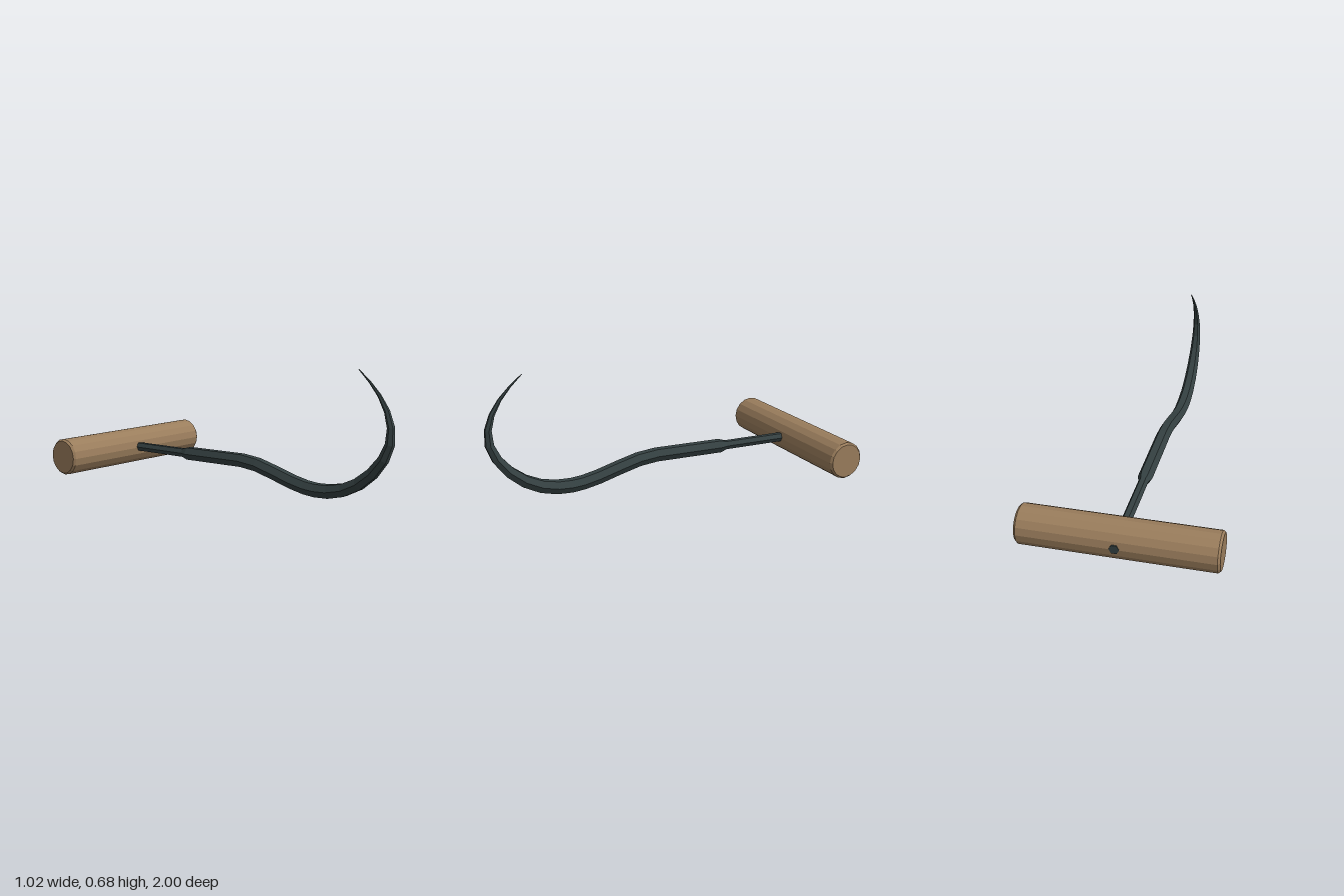
import * as THREE from 'three';

const wood = new THREE.MeshStandardMaterial({ color: 0x9a7d5c, flatShading: true });
wood.name = 'wood';
const steel = new THREE.MeshStandardMaterial({ color: 0x344041, flatShading: true });
steel.name = 'darkSteel';

// Sweeps a six-sided section along stations [z, y, radius] and caps both ends
function hexSweep(stations) {
  const sides = 6;
  const rings = stations.map(([z, y, r], i) => {
    const [z0, y0] = stations[Math.max(i - 1, 0)];
    const [z1, y1] = stations[Math.min(i + 1, stations.length - 1)];
    const t = new THREE.Vector2(z1 - z0, y1 - y0).normalize();
    return Array.from({ length: sides }, (_, j) => {
      const a = (j / sides) * Math.PI * 2;
      const n = Math.sin(a) * r;
      return [Math.cos(a) * r, y + t.x * n, z - t.y * n];
    });
  });
  const pos = [];
  const tri = (a, b, c) => pos.push(...a, ...b, ...c);
  const last = rings.length - 1;
  const center = (i) => [0, stations[i][1], stations[i][0]];
  for (let j = 0; j < sides; j++) {
    const k = (j + 1) % sides;
    for (let i = 0; i < last; i++) {
      tri(rings[i][j], rings[i][k], rings[i + 1][k]);
      tri(rings[i][j], rings[i + 1][k], rings[i + 1][j]);
    }
    tri(center(0), rings[0][k], rings[0][j]);
    tri(center(last), rings[last][j], rings[last][k]);
  }
  const g = new THREE.BufferGeometry();
  g.setAttribute('position', new THREE.Float32BufferAttribute(pos, 3));
  g.computeVertexNormals();
  return g;
}

export function createModel() {
  const group = new THREE.Group();
  group.name = 'handHook';

  // Cross handle: sixteen-sided bar with chamfered ends
  const profile = [[0, -0.512], [0.094, -0.512], [0.104, -0.5], [0.104, 0.5], [0.094, 0.512], [0, 0.512]]
    .map(([r, h]) => new THREE.Vector2(r, h));
  const handle = new THREE.Mesh(new THREE.LatheGeometry(profile, 16), wood);
  handle.name = 'handle';
  handle.rotation.z = Math.PI / 2;
  handle.position.set(0, 0.106, -0.895);
  group.add(handle);

  // Tang through the handle, thicker shank, then the curved tapering hook
  const hook = new THREE.Mesh(hexSweep([
    [-1.0, 0.107, 0.027], [-0.8, 0.111, 0.027], [-0.42, 0.119, 0.027],
    [-0.38, 0.12, 0.04], [0.03, 0.131, 0.04], [0.14, 0.121, 0.04],
    [0.26, 0.092, 0.04], [0.38, 0.06, 0.04], [0.47, 0.043, 0.04],
    [0.54, 0.038, 0.04], [0.62, 0.043, 0.04], [0.71, 0.064, 0.038],
    [0.8, 0.108, 0.036], [0.88, 0.172, 0.033], [0.943, 0.25, 0.029],
    [0.978, 0.33, 0.025], [0.982, 0.412, 0.02], [0.957, 0.492, 0.015],
    [0.912, 0.565, 0.01], [0.855, 0.628, 0.006], [0.79, 0.685, 0.002],
  ]), steel);
  hook.name = 'hook';
  group.add(hook);

  return group;
}
